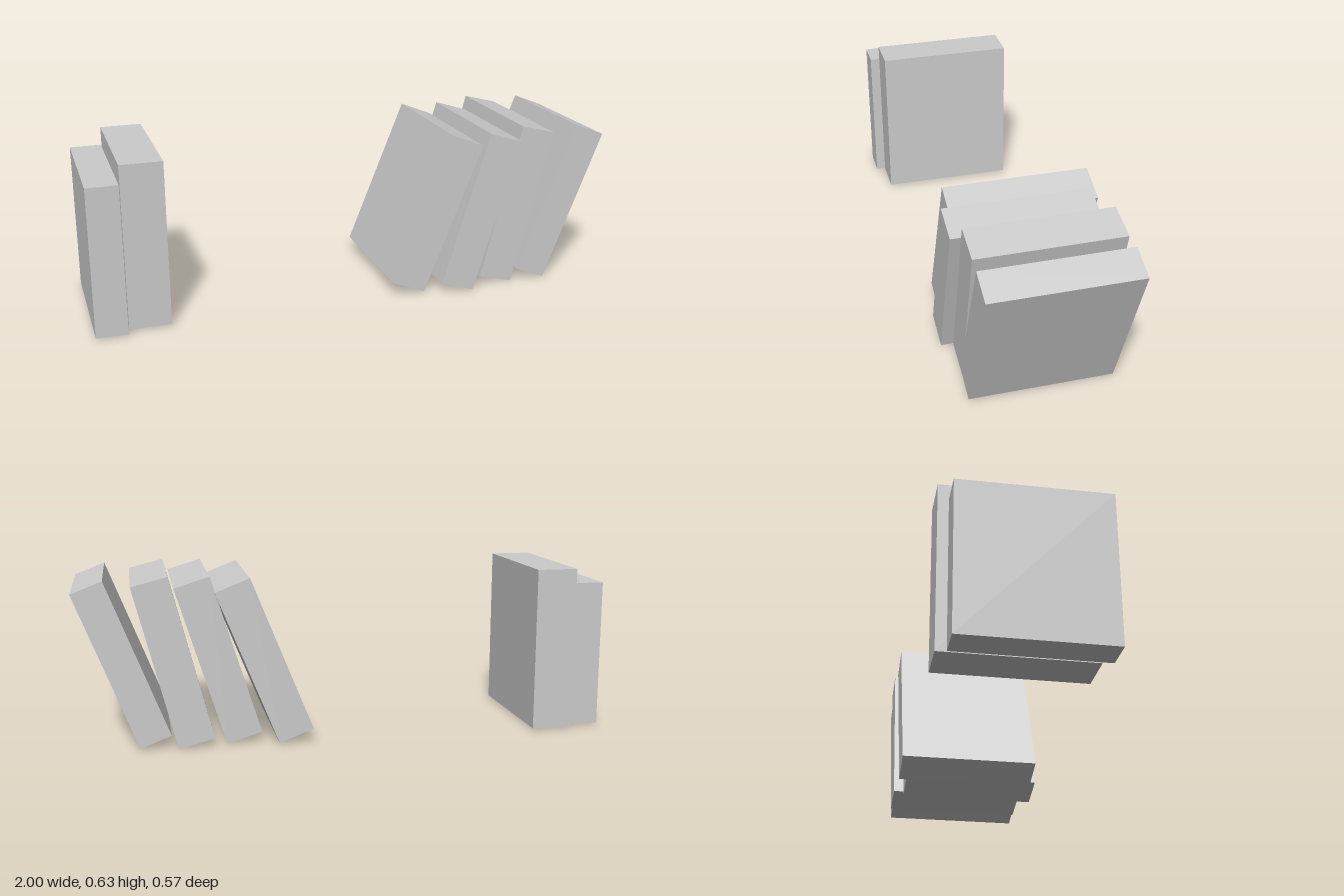
import * as THREE from 'three';

// Each book: centre x, y, z, thickness, height, depth, lean in degrees towards +x
const BOOKS = [
  ['shortUprightBook', -0.942, 0.286, 0.019, 0.116, 0.558, 0.532, 0],
  ['tallUprightBook', -0.8, 0.316, -0.018, 0.155, 0.618, 0.532, 0],
  ['leaningBook1', 0.316, 0.313, -0.018, 0.137, 0.614, 0.532, 21.9],
  ['leaningBook2', 0.482, 0.314, 0.018, 0.136, 0.614, 0.532, 17.3],
  ['leaningBook3', 0.647, 0.318, -0.018, 0.137, 0.62, 0.532, 14.5],
  ['leaningBook4', 0.83, 0.315, -0.006, 0.122, 0.616, 0.53, 21.5],
];

export function createModel() {
  const group = new THREE.Group();
  group.name = 'bookRow';
  const material = new THREE.MeshStandardMaterial({ color: 0xcccccc, flatShading: true });

  for (const [name, x, y, z, thickness, height, depth, lean] of BOOKS) {
    const book = new THREE.Mesh(new THREE.BoxGeometry(thickness, height, depth), material);
    book.name = name;
    book.position.set(x, y, z);
    book.rotation.z = -THREE.MathUtils.degToRad(lean);
    group.add(book);
  }
  return group;
}
